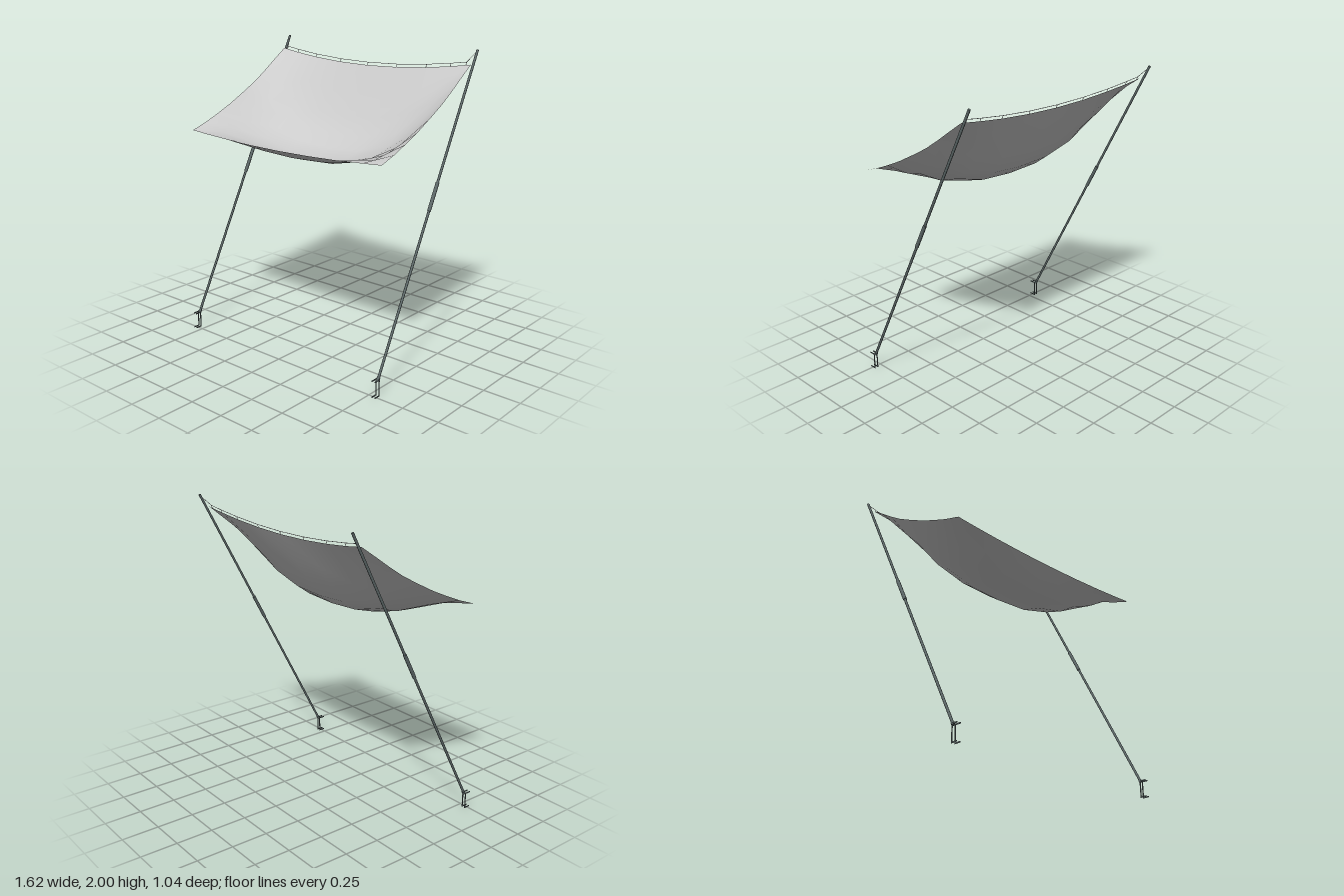
import * as THREE from 'three';

const V = (x, y, z) => new THREE.Vector3(x, y, z);
const metal = new THREE.MeshStandardMaterial({ color: 0x5f6b6b });
const fabric = new THREE.MeshStandardMaterial({ color: 0xcccccc, side: THREE.DoubleSide });
const cord = new THREE.MeshStandardMaterial({ color: 0xcccccc });

// [z, y] cross-sections of the cloth from back to front
const sideProfile = [[-0.44, 1.91], [-0.33, 1.835], [-0.23, 1.765], [-0.13, 1.7], [-0.02, 1.64],
  [0.12, 1.568], [0.24, 1.515], [0.35, 1.47], [0.47, 1.43]];
const middleProfile = [[-0.415, 1.848], [-0.3, 1.66], [-0.21, 1.53], [-0.12, 1.41], [-0.02, 1.34],
  [0.12, 1.302], [0.24, 1.303], [0.35, 1.335], [0.47, 1.4]];
const columns = [-0.795, -0.65, -0.47, -0.24, 0, 0.24, 0.47, 0.65, 0.795];

// Point on the cloth: sides blend into the sagging middle
function clothPoint(x, row) {
  const power = 2 + 0.7 * Math.sin(Math.PI * row / 8);
  const t = 1 - Math.pow(Math.abs(x) / 0.795, power);
  const [zs, ys] = sideProfile[row], [zm, ym] = middleProfile[row];
  return V(x, ys + (ym - ys) * t, zs + (zm - zs) * t);
}

function rod(name, a, b, radius, material, sides = 8) {
  const mesh = new THREE.Mesh(new THREE.CylinderGeometry(radius, radius, a.distanceTo(b), sides), material);
  mesh.position.copy(a).add(b).multiplyScalar(0.5);
  mesh.quaternion.setFromUnitVectors(V(0, 1, 0), b.clone().sub(a).normalize());
  mesh.name = name;
  return mesh;
}

function box(name, w, h, d, x, y, z) {
  const mesh = new THREE.Mesh(new THREE.BoxGeometry(w, h, d), metal);
  mesh.position.set(x, y, z);
  mesh.name = name;
  return mesh;
}

function makeCloth() {
  const geo = new THREE.PlaneGeometry(1, 1, 8, 8);
  const pos = geo.attributes.position;
  for (let i = 0; i < pos.count; i++) {
    const p = clothPoint(columns[i % 9], Math.floor(i / 9));
    pos.setXYZ(i, p.x, p.y, p.z);
  }
  geo.computeVertexNormals();
  const mesh = new THREE.Mesh(geo, fabric);
  mesh.name = 'canopyCloth';
  return mesh;
}

// Leaning pole with its joint sleeve and foot bracket
function makePole(side) {
  const group = new THREE.Group();
  group.name = side > 0 ? 'leftPole' : 'rightPole';
  const x = 0.798 * side;
  const foot = V(x, 0.11, 0.475), top = V(x, 1.997, -0.508);
  const at = (y) => foot.clone().lerp(top, (y - foot.y) / (top.y - foot.y));
  group.add(rod('poleTube', foot, top, 0.0085, metal));
  group.add(rod('jointSleeve', at(1.055), at(1.22), 0.012, metal));
  group.add(rod('poleFoot', foot, at(0.125), 0.011, metal));
  for (const s of [-1, 1]) {
    const px = x + s * 0.0115;
    group.add(box('bracketUpright', 0.003, 0.11, 0.008, px, 0.06, 0.478));
    for (const y of [0.007, 0.113]) {
      group.add(box('bracketProng', 0.003, 0.008, 0.046, px, y, 0.497));
    }
  }
  return group;
}

// Cord strung from pole top to pole top, tied along the back hem
function makeCord() {
  const group = new THREE.Group();
  group.name = 'hangingCord';
  const rope = (x) => clothPoint(x, 0).add(V(0, 0.019, -0.007));
  const xs = [-0.76, ...columns.slice(1, 8), 0.76];
  const points = [V(-0.798, 1.99, -0.505), ...xs.map(rope), V(0.798, 1.99, -0.505)];
  for (let i = 1; i < points.length; i++) {
    group.add(rod('cordSection', points[i - 1], points[i], 0.0018, cord, 6));
  }
  for (const x of xs) group.add(rod('hemTie', clothPoint(x, 0), rope(x), 0.0018, cord, 6));
  return group;
}

export function createModel() {
  const model = new THREE.Group();
  model.name = 'shadeCanopy';
  model.add(makeCloth(), makePole(1), makePole(-1), makeCord());
  return model;
}
